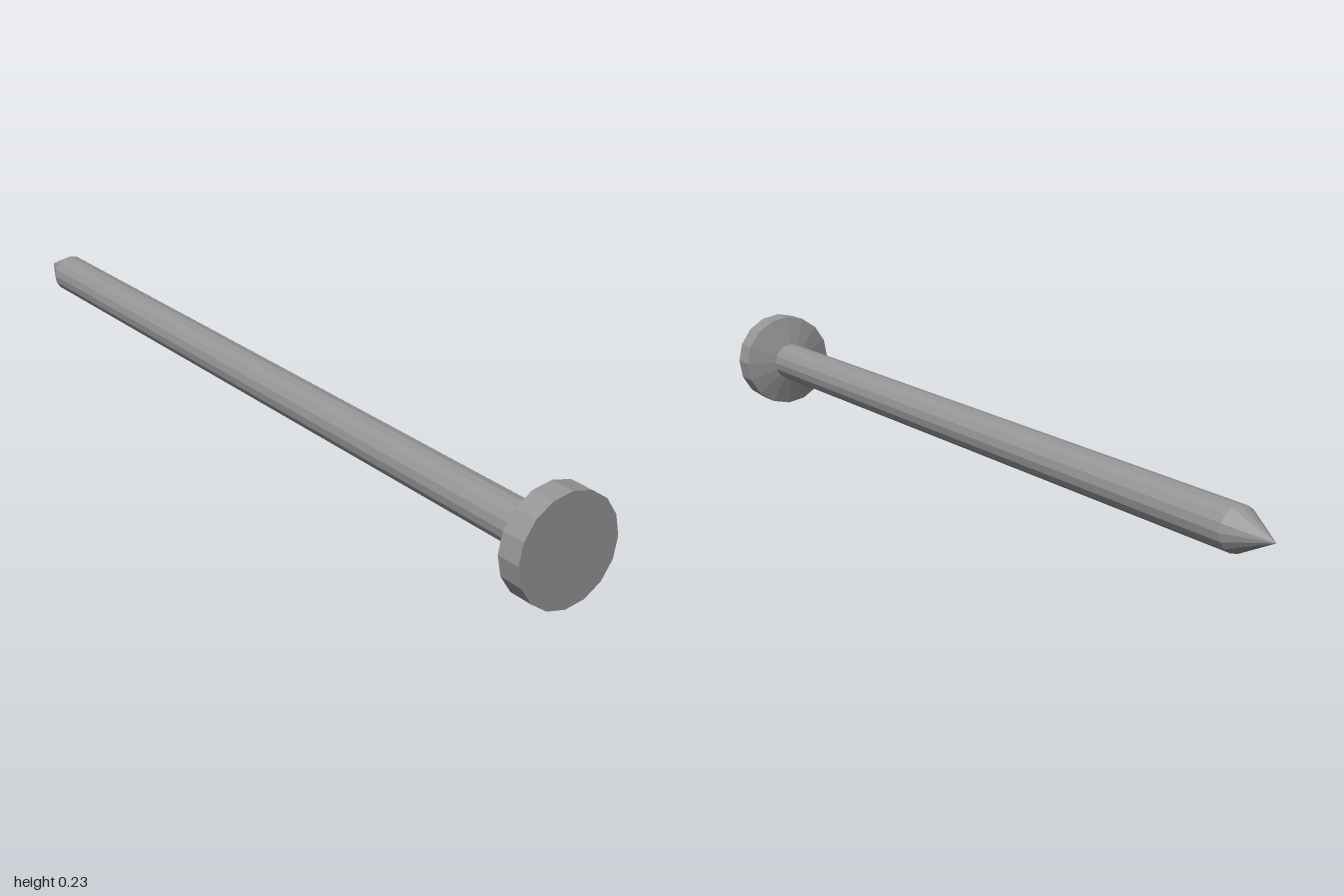
import * as THREE from 'three';

const SIDES = 16;
const HEAD_R = 0.114;
const SHANK_R = 0.045;

export function createModel() {
  const nail = new THREE.Group();
  nail.name = 'nail';
  const material = new THREE.MeshStandardMaterial({ color: 0x959595, flatShading: true });

  // Turns a [radius, z] profile, listed from back to front, about the z axis
  const addTurned = (name, profile) => {
    const points = profile.map(([r, z]) => new THREE.Vector2(r, z));
    const geometry = new THREE.LatheGeometry(points, SIDES).rotateX(Math.PI / 2);
    const mesh = new THREE.Mesh(geometry, material);
    mesh.name = name;
    mesh.position.y = HEAD_R;
    nail.add(mesh);
  };

  // Pointed end
  addTurned('tip', [[0, -1], [SHANK_R, -0.9]]);

  // Long straight shank
  addTurned('shank', [[SHANK_R, -0.9], [SHANK_R, 0.925]]);

  // Flat head with a bevelled underside
  addTurned('head', [[SHANK_R, 0.925], [HEAD_R, 0.945], [HEAD_R, 1], [0, 1]]);

  return nail;
}
